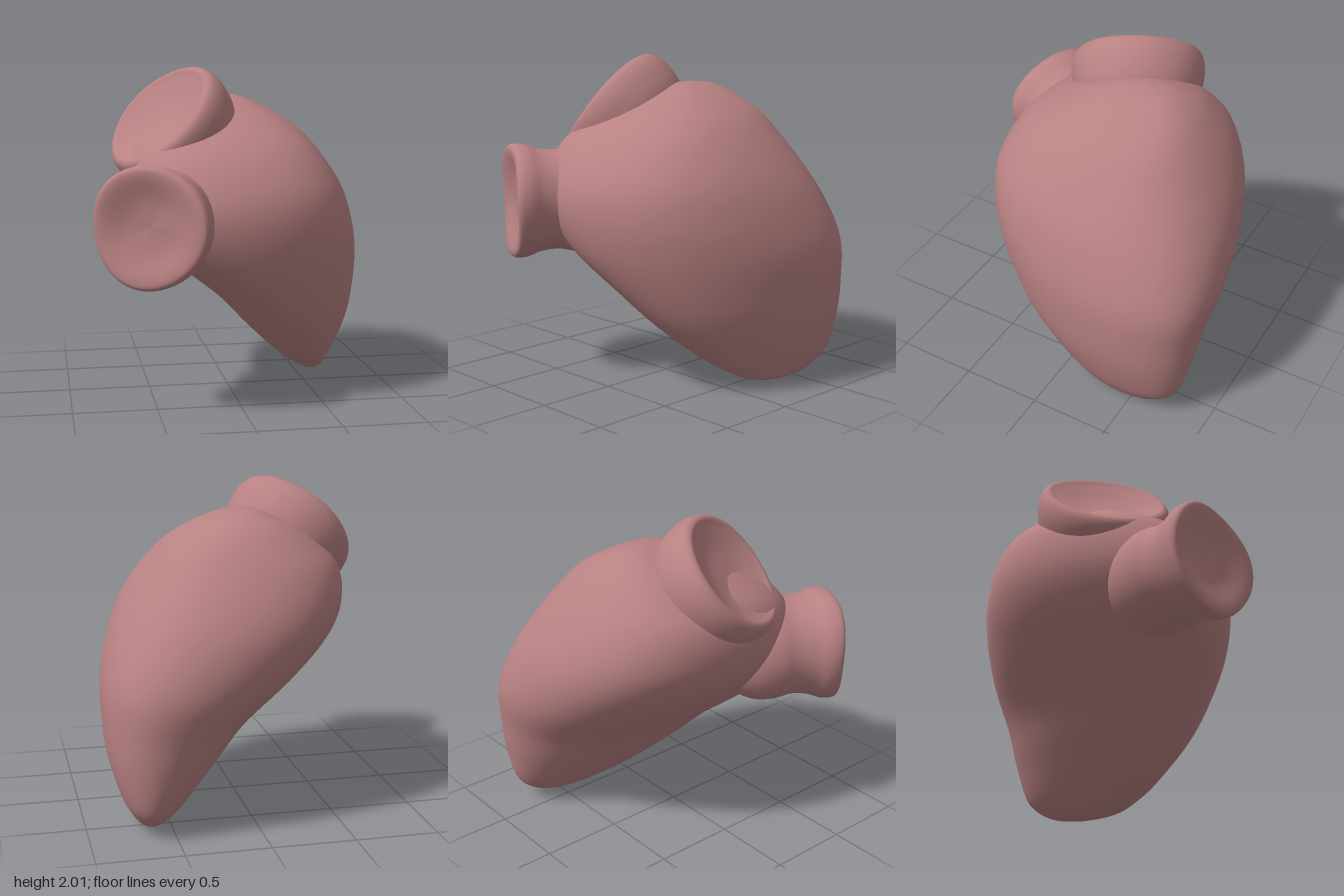
import * as THREE from 'three';

// Closed surface from rings of points; point(u, angle) with u from 0 (base) to 1 (tip)
function loft(rings, segments, point) {
  const positions = [], index = [];
  for (let i = 0; i <= rings; i++) {
    for (let j = 0; j < segments; j++) {
      positions.push(...point(i / rings, (j / segments) * Math.PI * 2));
      if (i === rings) continue;
      const k = (j + 1) % segments;
      const a = i * segments + j, b = i * segments + k;
      index.push(a, a + segments, b, b, a + segments, b + segments);
    }
  }
  const geometry = new THREE.BufferGeometry();
  geometry.setAttribute('position', new THREE.Float32BufferAttribute(positions, 3));
  geometry.setIndex(index);
  geometry.computeVertexNormals();
  return geometry;
}

// Muscular chamber: sheared elliptical slices [y, xMin, xMax, zMin, zMax, shear]
function chamberGeometry() {
  const slices = [
    [0.0, 0.62, 0.62, -0.41, -0.41, -0.2],
    [0.03, 0.53, 0.69, -0.61, -0.17, -0.2],
    [0.1, 0.43, 0.74, -0.74, -0.01, -0.25],
    [0.2, 0.31, 0.79, -0.81, 0.14, -0.3],
    [0.4, 0.11, 0.85, -0.86, 0.36, -0.3],
    [0.6, -0.08, 0.875, -0.89, 0.52, -0.3],
    [0.85, -0.38, 0.875, -0.93, 0.67, -0.27],
    [1.1, -0.59, 0.81, -0.9, 0.73, -0.19],
    [1.3, -0.65, 0.72, -0.83, 0.69, -0.12],
    [1.5, -0.61, 0.58, -0.72, 0.55, -0.08],
    [1.65, -0.45, 0.44, -0.61, 0.33, -0.05],
    [1.75, -0.28, 0.28, -0.51, 0.14, 0],
    [1.82, -0.12, 0.12, -0.38, -0.05, 0],
    [1.84, -0.01, -0.01, -0.23, -0.23, 0],
  ];
  const spline = (pick) => new THREE.CatmullRomCurve3(
    slices.map((s) => new THREE.Vector3(...pick(s))), false, 'catmullrom', 0.5);
  const xs = spline((s) => [s[1], s[2], s[0]]);
  const zs = spline((s) => [s[3], s[4], s[5]]);
  return loft(78, 72, (u, angle) => {
    const p = xs.getPoint(u), q = zs.getPoint(u);
    // slightly boxy sections, fuller towards the top
    const k = 0.03 * Math.min(1, Math.max(0, p.z));
    const wave = (t) => (Math.cos(t) - k * Math.cos(3 * t)) / (1 - k);
    return [
      (p.x + p.y) / 2 + ((p.y - p.x) / 2) * wave(angle),
      p.z,
      (q.x + q.y) / 2 + ((q.y - q.x) / 2) * wave(angle - Math.acos(q.z)),
    ];
  });
}

// Vessel stump: profile of [radius, height] from hidden base, over the rim, into the dished end
function vesselGeometry(profile, wobble) {
  const curve = new THREE.SplineCurve(profile.map((p) => new THREE.Vector2(...p)));
  return loft(44, 64, (u, angle) => {
    const p = curve.getPoint(u);
    const lump = wobble * Math.max(0, 1 + p.y * 4) * Math.sin(3 * angle + 0.6);
    const r = Math.max(p.x, 0) * (1 + lump);
    return [r * Math.cos(angle), p.y + lump * p.x, r * Math.sin(angle)];
  });
}

export function createModel() {
  const flesh = new THREE.MeshStandardMaterial({ color: 0xb88182 });
  flesh.name = 'flesh pink';
  const model = new THREE.Group();
  model.name = 'heartChamber';

  const add = (name, geometry) => {
    const mesh = new THREE.Mesh(geometry, flesh);
    mesh.name = name;
    model.add(mesh);
    return mesh;
  };
  const aim = (mesh, centre, direction) => {
    mesh.position.set(...centre);
    mesh.quaternion.setFromUnitVectors(
      new THREE.Vector3(0, 1, 0), new THREE.Vector3(...direction).normalize());
  };

  add('chamber', chamberGeometry());

  // Narrow-necked stump with a flared end, its base closed inside the chamber
  const front = add('frontVessel', vesselGeometry([
    [0, -0.74], [0.2, -0.68], [0.31, -0.52], [0.33, -0.38], [0.31, -0.26],
    [0.32, -0.15], [0.35, -0.06], [0.345, 0.01], [0.29, 0.02], [0.15, -0.02], [0, -0.03],
  ], 0.025));
  aim(front, [-0.565, 1.12, 0.76], [-0.46, 0, 0.88]);

  // Short wide stump on the upper shoulder
  const upper = add('upperVessel', vesselGeometry([
    [0, -0.5], [0.25, -0.44], [0.37, -0.29], [0.41, -0.14], [0.4, -0.04],
    [0.36, 0.0], [0.3, -0.02], [0.16, -0.06], [0, -0.07],
  ], 0.01));
  aim(upper, [-0.44, 1.725, 0.085], [-0.67, 0.65, 0.37]);

  return model;
}
